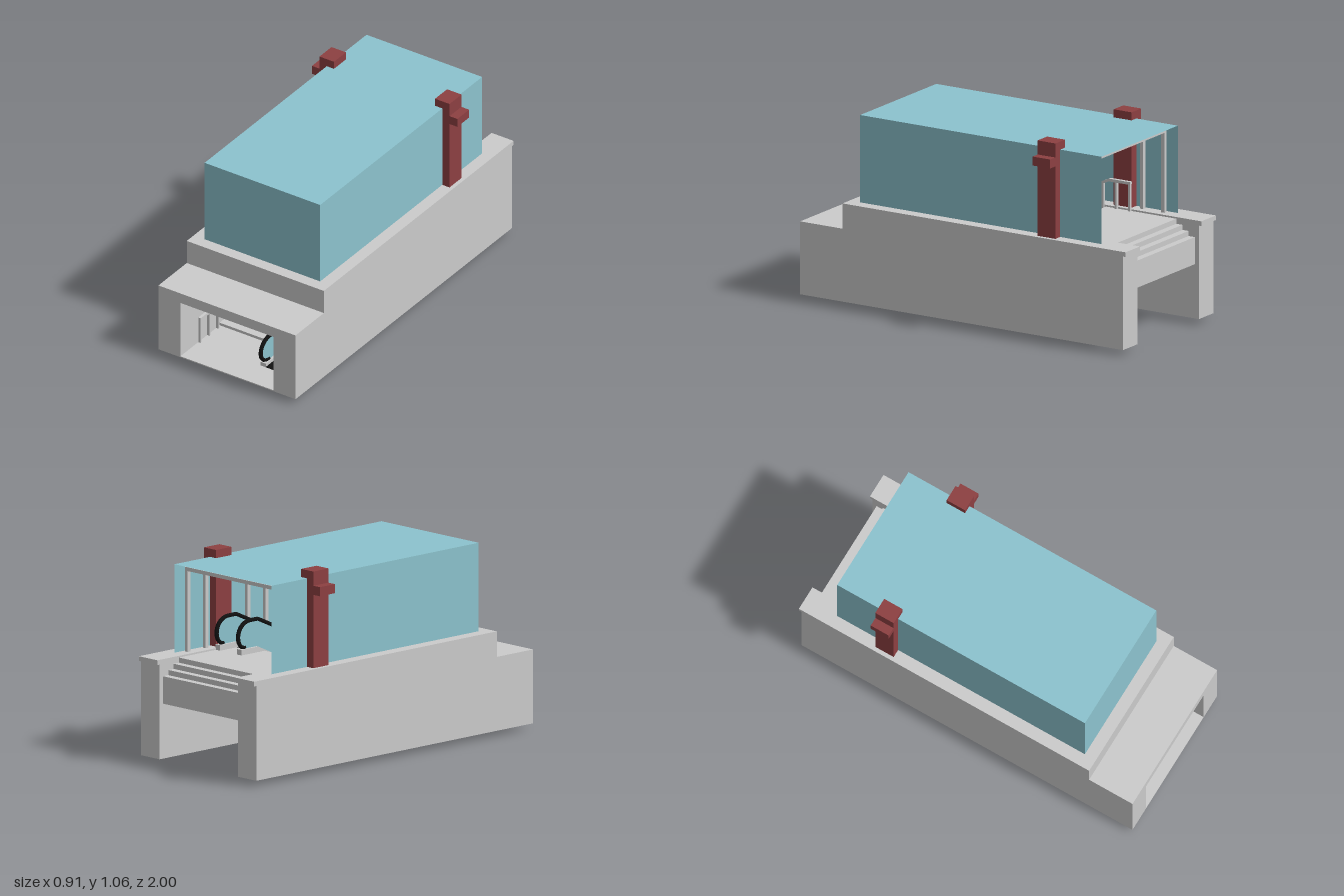
import * as THREE from 'three';

const mat = (color) => new THREE.MeshStandardMaterial({ color, side: THREE.DoubleSide });

export function createModel() {
  const root = new THREE.Group();
  const grey = mat(0xcccccc), teal = mat(0x8cc3ce), red = mat(0x8d4042), black = mat(0x111111);

  const add = (name, geo, material = grey) => {
    const m = new THREE.Mesh(geo, material);
    m.name = name;
    root.add(m);
    return m;
  };
  // Box from its limits; omit lists faces to leave out (0 +x, 1 -x, 2 +y, 3 -y, 4 +z, 5 -z)
  const box = (name, x0, x1, y0, y1, z0, z1, material, omit = []) => {
    const g = new THREE.BoxGeometry(x1 - x0, y1 - y0, z1 - z0);
    g.translate((x0 + x1) / 2, (y0 + y1) / 2, (z0 + z1) / 2);
    if (omit.length) g.setIndex([...g.index.array].filter((_, i) => !omit.includes(Math.floor(i / 6))));
    return add(name, g, material);
  };
  // Side profile of [z, y] points, extruded from x0 to x1
  const slab = (name, shape, x0, x1, material) => {
    const s = Array.isArray(shape) ? new THREE.Shape(shape.map((p) => new THREE.Vector2(...p))) : shape;
    const g = new THREE.ExtrudeGeometry(s, { depth: x1 - x0, bevelEnabled: false, curveSegments: 10 });
    g.rotateY(-Math.PI / 2).translate(x1, 0, 0);
    return add(name, g, material);
  };

  // Hollow side walls, open below, with a small lip at the back
  for (const s of [-1, 1]) {
    const [a, b] = s > 0 ? [0.29, 0.427] : [-0.427, -0.29];
    box('sideWall', a, b, 0.03, 0.555, -0.985, 0.74, grey, [3]);
    box('frontWall', a, b, 0.03, 0.42, 0.74, 1, grey, [3, 5]);
    box('wallLip', a, b, 0.53, 0.555, -1, -0.985);
  }

  // Front lintel, roof and lower floor
  box('frontRoof', -0.29, 0.29, 0.362, 0.42, 0.74, 1);
  box('roofStep', -0.29, 0.29, 0.362, 0.555, 0.67, 0.74);
  box('lowerFloor', -0.29, 0.29, 0.03, 0.036, 0.62, 1);

  // Thin zigzag flight
  const N = 24, Z0 = 0.64, Y0 = 0.03, run = 1.1 / N, rise = 0.516 / N;
  const zigzag = [[Z0, Y0]];
  for (let i = 0; i < N; i++) {
    zigzag.push([Z0 - i * run, Y0 + (i + 1) * rise], [Z0 - (i + 1) * run, Y0 + (i + 1) * rise]);
  }
  const flight = [...zigzag, ...zigzag.map(([z, y]) => [z - 0.01, y - 0.012]).reverse()];
  slab('stairs', flight, -0.29, 0.1);
  slab('escalatorSteps', flight, 0.135, 0.262, black);

  // Upper landing and the short steps at the back
  box('landing', -0.29, 0.29, 0.53, 0.546, -0.845, -0.46);
  for (let i = 0; i < 3; i++) {
    const z = -0.96 + i * 0.038, y = 0.465 + i * 0.027;
    box('backStep', -0.29, 0.29, y - 0.03, y, z, z + 0.045);
  }
  box('backRiser', -0.29, 0.29, 0.32, 0.463, -0.96, -0.945);
  box('landingRiser', -0.29, 0.29, 0.5, 0.546, -0.846, -0.836);

  // Escalator: two skirts, glass balustrades and handrails
  const v = (z, y) => new THREE.Vector3(0, y, z);
  for (const x of [0.118, 0.277]) {
    slab('escalatorSkirt', [[0.84, 0.032], [0.84, 0.058], [0.66, 0.058], [-0.46, 0.575], [-0.58, 0.575],
      [-0.58, 0.53], [-0.46, 0.53], [0.6, 0.032]], x - 0.017, x + 0.017);
    const panel = new THREE.Shape();
    panel.moveTo(0.8, 0.055);
    panel.bezierCurveTo(0.88, 0.06, 0.88, 0.192, 0.78, 0.192);
    panel.lineTo(0.68, 0.192);
    panel.lineTo(-0.45, 0.715);
    panel.lineTo(-0.5, 0.715);
    panel.bezierCurveTo(-0.6, 0.715, -0.6, 0.58, -0.55, 0.575);
    panel.lineTo(-0.46, 0.575);
    panel.lineTo(0.66, 0.055);
    slab('balustrade', panel, x - 0.004, x + 0.004, teal);

    const path = new THREE.CurvePath();
    path.add(new THREE.CubicBezierCurve3(v(0.79, 0.062), v(0.89, 0.062), v(0.89, 0.195), v(0.78, 0.195)));
    path.add(new THREE.LineCurve3(v(0.78, 0.195), v(0.68, 0.195)));
    path.add(new THREE.LineCurve3(v(0.68, 0.195), v(-0.45, 0.718)));
    path.add(new THREE.LineCurve3(v(-0.45, 0.718), v(-0.5, 0.718)));
    path.add(new THREE.CubicBezierCurve3(v(-0.5, 0.718), v(-0.61, 0.718), v(-0.61, 0.58), v(-0.54, 0.58)));
    const tube = new THREE.TubeGeometry(path, 160, 0.011, 8).translate(x, 0, 0);
    add('escalatorHandrail', tube, black);
  }
  box('escalatorCombPlate', 0.135, 0.262, 0.036, 0.04, 0.62, 0.84, black);
  box('escalatorPitPlate', 0.135, 0.262, 0.006, 0.036, 0.825, 0.835);
  box('escalatorPitFloor', 0.135, 0.262, 0.024, 0.03, 0.8, 0.93, black);

  // Stair railing along the right wall
  const floorAt = (z) => Y0 + 0.516 * THREE.MathUtils.clamp((0.66 - z) / 1.1, 0, 1);
  for (let i = 0; i < 18; i++) {
    const z = 0.83 - i * 0.082, y = floorAt(z);
    box('railingPost', -0.292, -0.277, i ? y - 0.012 : 0, y + 0.15, z - 0.006, z + 0.006);
  }
  slab('railing', [[0.836, 0.172], [0.836, 0.187], [0.66, 0.187], [-0.44, 0.703], [-0.57, 0.703],
    [-0.57, 0.688], [-0.44, 0.688], [0.66, 0.172]], -0.294, -0.275);

  // Glass canopy, open at the back and below
  box('canopy', -0.36, 0.36, 0.555, 1.022, -0.81, 0.675, teal, [3, 5]);

  // Canopy frame: paired ribs joined by rungs under the roof
  for (const z0 of [-0.74, -0.31, 0.04, 0.4]) {
    const z1 = z0 + 0.13;
    for (const z of [z0, z1]) {
      for (const x of [-0.335, 0.335]) box('framePost', x - 0.01, x + 0.01, 0.555, 1.0, z - 0.01, z + 0.01);
      box('frameBeam', -0.345, 0.345, 0.982, 1.002, z - 0.01, z + 0.01);
    }
    for (let i = -2; i <= 2; i++) {
      box('frameRung', i * 0.145 - 0.008, i * 0.145 + 0.008, 0.984, 1.0, z0, z1);
    }
  }

  // Red portal: two columns and a crossbeam with projecting ends
  for (const s of [-1, 1]) {
    const [a, b] = s > 0 ? [0.315, 0.405] : [-0.405, -0.315];
    box('portalColumn', a, b, 0.555, 1.065, -0.555, -0.445, red);
  }
  box('portalBeam', -0.453, 0.453, 0.942, 0.99, -0.554, -0.446, red);

  return root;
}
